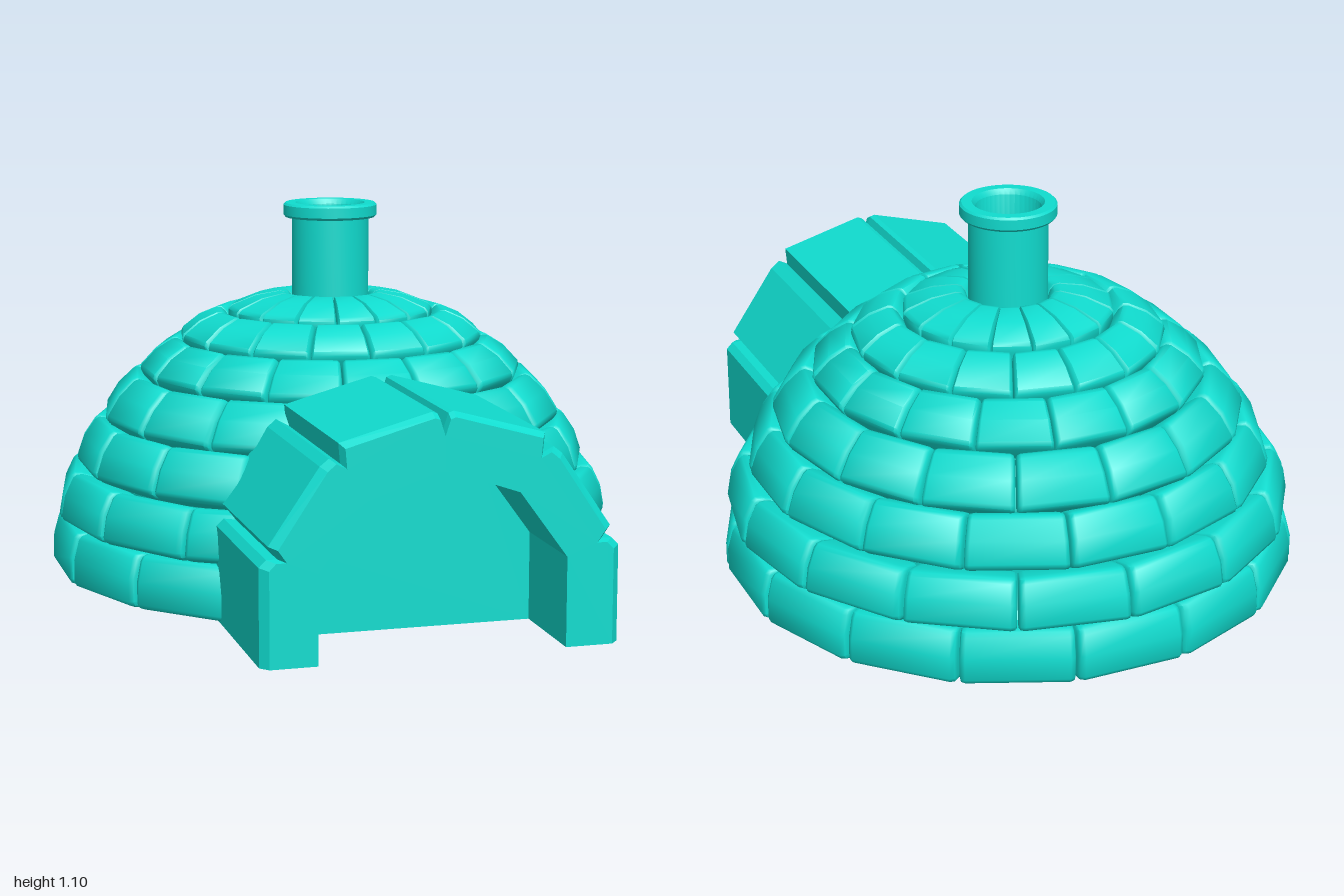
import * as THREE from 'three';
import { toCreasedNormals } from 'three/addons/utils/BufferGeometryUtils.js';

const material = new THREE.MeshStandardMaterial({ color: 0x10dccf, side: THREE.DoubleSide });
const DOME_Z = -0.155;
const BLOCKS = 16;
const HALF = Math.PI / BLOCKS;

// Each course of the dome: outer bottom radius, height, outer top radius, height
const COURSES = [
  [0.84, 0.005, 0.82, 0.163], [0.83, 0.17, 0.785, 0.315], [0.768, 0.322, 0.7, 0.462],
  [0.692, 0.468, 0.59, 0.597], [0.578, 0.602, 0.46, 0.702], [0.46, 0.706, 0.33, 0.785],
  [0.312, 0.785, 0.13, 0.838],
];

// Point on a course: u runs up the face, v is the offset out of the face
function coursePoint([r0, y0, r1, y1], u, v) {
  const dr = r1 - r0, dy = y1 - y0, len = Math.hypot(dr, dy);
  return [r0 + dr * u + (dy / len) * v, Math.max(0.002, y0 + dy * u - (dr / len) * v)];
}

// Pillow-shaped snow block, facing +z, swept from a rounded cross-section
function blockGeometry(course) {
  const section = [[0, -0.09], [0, -0.025], [0.03, -0.008], [0.1, 0], [0.5, 0.008],
    [0.88, 0], [0.96, -0.008], [1, -0.025], [1, -0.09]];
  const stations = [[-0.985, 0.93, -0.025], [-0.95, 0.98, -0.008], [-0.87, 1, 0],
    [0.87, 1, 0], [0.95, 0.98, -0.008], [0.985, 0.93, -0.025]];
  const n = section.length, pos = [], index = [];
  for (const [w, shrink, sink] of stations) {
    for (const [u, v] of section) {
      const [r, y] = coursePoint(course, 0.5 + (u - 0.5) * shrink, v > -0.05 ? v + sink : v);
      pos.push(r * Math.tan(HALF) * w, y, r);
    }
  }
  const last = (stations.length - 1) * n;
  for (let i = 0; i < stations.length - 1; i++) {
    for (let j = 0; j < n; j++) {
      const k = (j + 1) % n, a = i * n + j, b = i * n + k;
      index.push(a, a + n, b + n, a, b + n, b);
    }
  }
  for (let j = 1; j < n - 1; j++) index.push(0, j, j + 1, last, last + j + 1, last + j);
  const geo = new THREE.BufferGeometry();
  geo.setAttribute('position', new THREE.Float32BufferAttribute(pos, 3));
  geo.setIndex(index);
  return toCreasedNormals(geo, 0.9);
}

function addMesh(parent, name, geo) {
  const mesh = new THREE.Mesh(geo, material);
  mesh.name = name;
  parent.add(mesh);
  return mesh;
}

function lathe(points, segments) {
  const geo = new THREE.LatheGeometry(points.map(([x, y]) => new THREE.Vector2(x, y)), segments);
  return toCreasedNormals(geo, 0.6);
}

function buildDome() {
  const dome = new THREE.Group();
  dome.name = 'dome';
  dome.position.z = DOME_Z;
  COURSES.forEach((course, row) => {
    const geo = blockGeometry(course);
    for (let i = 0; i < BLOCKS; i++) {
      // Alternate courses are staggered by half a block
      const angle = (i * 2 + (row % 2)) * HALF;
      const fromFront = Math.abs(Math.atan2(Math.sin(angle), Math.cos(angle)));
      if (row < 2 && fromFront < 0.42) continue; // doorway
      addMesh(dome, `course${row + 1}Block`, geo).rotation.y = angle;
    }
  });
  // Inner lining, bulging inwards once per course
  const lining = [];
  for (const course of COURSES) {
    for (const [u, v] of [[0, -0.085], [0.2, -0.1], [0.5, -0.108], [0.8, -0.1], [1, -0.085]]) {
      lining.push(coursePoint(course, u, v));
    }
  }
  lining.push([0, 0.76]);
  addMesh(dome, 'innerLining', lathe(lining, 48));
  return dome;
}

function buildChimney() {
  const profile = [[0, 0.85], [0.095, 0.85], [0.095, 1.085], [0.105, 1.1], [0.135, 1.1], [0.141, 1.094],
    [0.141, 1.064], [0.135, 1.057], [0.116, 1.057], [0.116, 0.78]];
  const chimney = new THREE.Mesh(lathe(profile.reverse(), 40), material);
  chimney.name = 'chimney';
  chimney.position.z = DOME_Z;
  return chimney;
}

function buildTunnel() {
  const tunnel = new THREE.Group();
  tunnel.name = 'entranceTunnel';
  // Right half of the outer outline, with grooves between the slabs
  const outer = [[0.5, 0], [0.5, 0.27], [0.48, 0.29], [0.45, 0.29], [0.475, 0.325], [0.335, 0.53],
    [0.31, 0.55], [0.28, 0.535], [0.285, 0.59], [0.03, 0.66], [0.015, 0.655], [0, 0.61]];
  const inner = [[0.345, 0], [0.345, 0.25], [0.21, 0.435], [0, 0.508]];
  const mirrored = (half) => half.concat(half.slice(0, -1).reverse().map(([x, y]) => [-x, y]));
  const shapeOf = (pts) => new THREE.Shape(pts.map(([x, y]) => new THREE.Vector2(x, y)));
  const back = 0.4, front = 1, wall = 0.7;

  const arch = new THREE.ExtrudeGeometry(
    shapeOf(mirrored(outer).concat(mirrored(inner).reverse())),
    { depth: front - back, steps: 2, bevelEnabled: false });
  // Chamfer the outer front edge
  const p = arch.attributes.position;
  for (let i = 0; i < p.count; i++) {
    const x = p.getX(i), y = p.getY(i), z = p.getZ(i);
    const isOuter = Math.abs(x) > 0.4 || y > 0.515;
    if (z > 0.2 && z < 0.4) p.setZ(i, front - back - 0.025);
    if (z > 0.5 && isOuter) p.setXY(i, x * 0.955, y * 0.98);
  }
  arch.computeVertexNormals();
  addMesh(tunnel, 'tunnelArch', arch).position.z = back;

  // Solid closing the tunnel where it meets the dome
  addMesh(tunnel, 'tunnelBackWall', new THREE.ExtrudeGeometry(shapeOf(mirrored(inner)),
    { depth: wall - back, bevelEnabled: false })).position.z = back;
  return tunnel;
}

export function createModel() {
  const model = new THREE.Group();
  model.name = 'igloo';
  model.add(buildDome(), buildChimney(), buildTunnel());
  return model;
}
